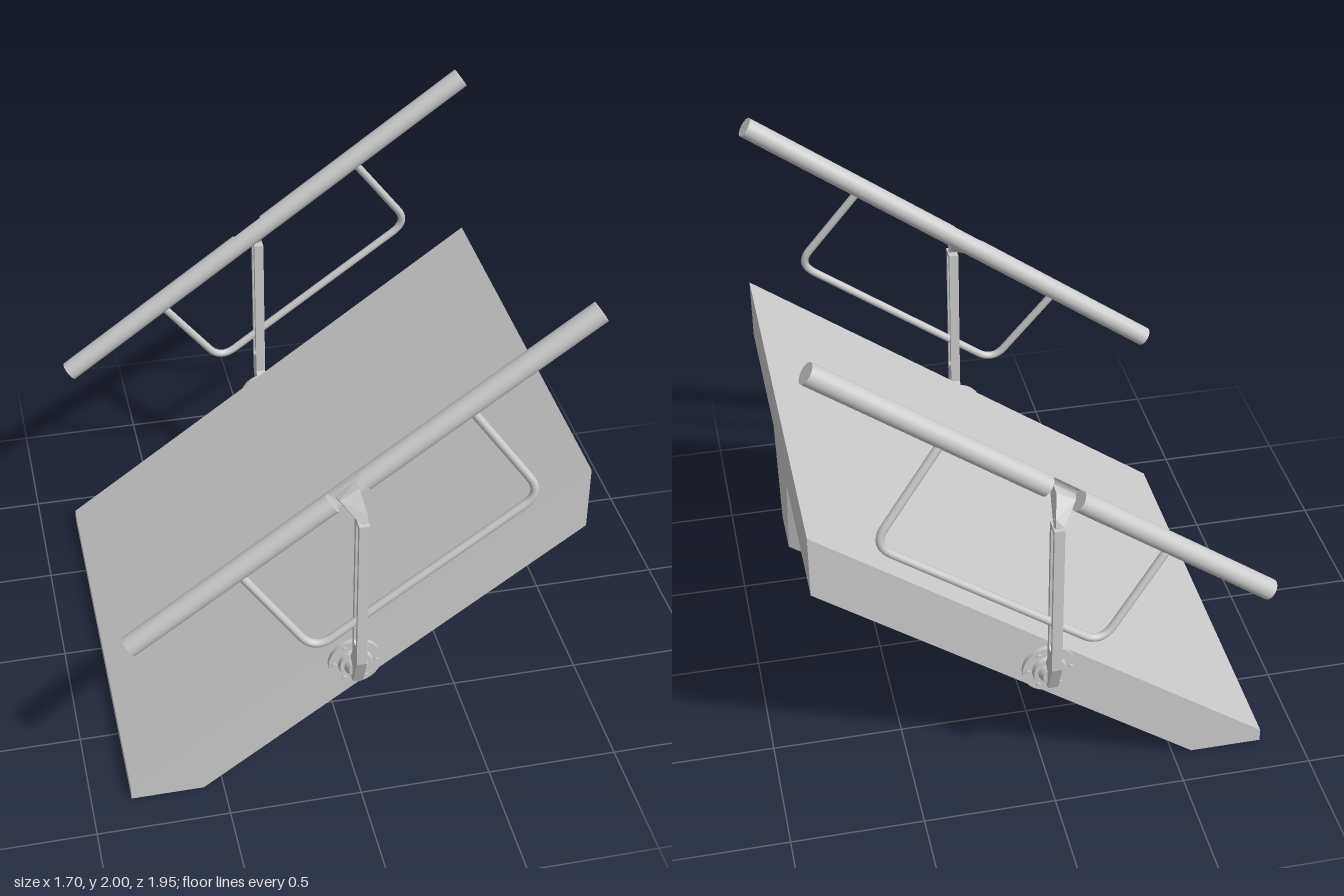
import * as THREE from 'three';
import { ConvexGeometry } from 'three/addons/geometries/ConvexGeometry.js';

const V = (x, y, z) => new THREE.Vector3(x, y, z);
const material = new THREE.MeshStandardMaterial({ color: 0xcccccc });
const openMaterial = new THREE.MeshStandardMaterial({ color: 0xcccccc, side: THREE.DoubleSide });

// Closed outline from [x, y] pairs
const outline = (pts) => new THREE.Shape(pts.map(([x, y]) => new THREE.Vector2(x, y)));

function add(group, name, geometry, mat = material) {
  const mesh = new THREE.Mesh(geometry, mat);
  mesh.name = name;
  group.add(mesh);
}

// Mirrored copy across z = 0, with the winding reversed
function mirrorZ(geometry) {
  const g = geometry.clone().scale(1, 1, -1);
  const order = g.index ? Array.from(g.index.array) : [...Array(g.attributes.position.count).keys()];
  g.setIndex(order.reverse());
  return g;
}

// Cylinder along z between two depths
const disc = (r0, r1, z0, z1, x, y, sides = 32) =>
  new THREE.CylinderGeometry(r1, r0, z1 - z0, sides).rotateX(Math.PI / 2).translate(x, y, (z0 + z1) / 2);

// The incline shared by the slab and the rails
const SLOPE = Math.atan(0.72);
const RAIL_MID = V(0, 1.374, 0.87);
const RAIL_R = 0.04;

// Rail piece between two distances measured along the incline
function railPiece(t0, t1, half = false) {
  const t = (t0 + t1) / 2;
  return new THREE.CylinderGeometry(RAIL_R, RAIL_R, t1 - t0, half ? 16 : 32, 1, half,
    half ? Math.PI / 2 : 0, half ? Math.PI : Math.PI * 2)
    .rotateZ(SLOPE - Math.PI / 2)
    .translate(RAIL_MID.x + t * Math.cos(SLOPE), RAIL_MID.y + t * Math.sin(SLOPE), RAIL_MID.z);
}

// Bent rod through corner points, corners rounded by a given radius
function bentRod(points, bend, radius) {
  const path = new THREE.CurvePath();
  let from = points[0];
  for (let i = 1; i < points.length - 1; i++) {
    const p = points[i];
    const a = p.clone().add(points[i - 1].clone().sub(p).setLength(bend));
    const b = p.clone().add(points[i + 1].clone().sub(p).setLength(bend));
    path.add(new THREE.LineCurve3(from, a));
    path.add(new THREE.QuadraticBezierCurve3(a, p, b));
    from = b;
  }
  path.add(new THREE.LineCurve3(from, points[points.length - 1]));
  return new THREE.TubeGeometry(path, 120, radius, 12);
}

// Slotted post, drawn as (z, y) and extruded across x
function postGeometry() {
  const shape = outline([[0.905, 1.265], [0.905, 0.64], [0.885, 0.6], [0.885, 0.515],
    [0.9, 0.5], [0.925, 0.505], [0.975, 0.63], [0.975, 1.265]]);
  const slot = new THREE.Path();
  slot.absarc(0.941, 1.235, 0.016, 0, Math.PI, false);
  slot.absarc(0.941, 0.715, 0.016, Math.PI, Math.PI * 2, false);
  slot.closePath();
  shape.holes.push(slot);
  const depth = 0.038;
  return new THREE.ExtrudeGeometry(shape, { depth, bevelEnabled: false })
    .rotateY(-Math.PI / 2).translate(depth / 2 - 0.002, 0, 0);
}

export function createModel() {
  const model = new THREE.Group();
  model.name = 'inclinedSlabWithHandrails';

  // Sloping slab
  const slab = outline([[-0.85, 0], [-0.575, 0], [0.85, 1.03], [0.85, 1.28], [-0.85, 0.052]]);
  add(model, 'slab', new THREE.ExtrudeGeometry(slab, { depth: 1.7, bevelEnabled: false }).translate(0, 0, -0.85));

  // Tapered stiffening rib beneath the slab
  const rib = [];
  for (const s of [-1, 1]) {
    rib.push(V(-0.575, 0, s * 0.19), V(-0.05, 0, s * 0.095), V(0.85, 0.655, s * 0.095), V(0.85, 1.03, s * 0.19));
  }
  add(model, 'rib', new ConvexGeometry(rib));

  // One handrail, built at +z
  const parts = [
    ['lowerRail', railPiece(-1.015, -0.115)],
    ['upperRail', railPiece(0.025, 1.01)],
    ['railNotch', railPiece(-0.115, 0.025, true), openMaterial],
    ['guardLoop', bentRod([V(-0.425, 1.05, 0.88), V(-0.171, 0.704, 0.941),
      V(0.64, 1.286, 0.941), V(0.39, 1.625, 0.88)], 0.08, 0.0155)],
    ['post', postGeometry()],
    ['flange', disc(0.1, 0.1, 0.848, 0.868, 0, 0.545)],
    ['hubCollar', disc(0.065, 0.06, 0.868, 0.885, 0, 0.545)],
    ['hub', disc(0.045, 0.032, 0.885, 0.91, 0, 0.545)],
    // Arm tapering from the rail notch to the post head
    ['railBracket', new ConvexGeometry([
      V(-0.085, 1.325, 0.855), V(-0.005, 1.38, 0.855), V(0.005, 1.345, 0.855), V(-0.05, 1.3, 0.855),
      V(-0.075, 1.335, 0.9), V(-0.005, 1.375, 0.9),
      V(-0.018, 1.28, 0.972), V(0.012, 1.28, 0.972), V(-0.012, 1.275, 0.93), V(0.012, 1.275, 0.93),
      V(0.01, 1.31, 0.965)])],
    ['bracketPin', new THREE.CylinderGeometry(0.013, 0.013, 0.05, 16).translate(0, 1.275, 0.945)],
  ];
  for (let i = 0; i < 6; i++) {
    const a = (i / 6) * Math.PI * 2;
    parts.push(['flangeBolt', disc(0.01, 0.01, 0.868, 0.876, 0.08 * Math.cos(a), 0.545 + 0.08 * Math.sin(a), 12)]);
  }

  // Handrails on both sides
  for (const side of ['front', 'back']) {
    const rail = new THREE.Group();
    rail.name = side + 'Handrail';
    for (const [name, geometry, mat] of parts) {
      add(rail, name, side === 'front' ? geometry : mirrorZ(geometry), mat);
    }
    model.add(rail);
  }
  return model;
}
